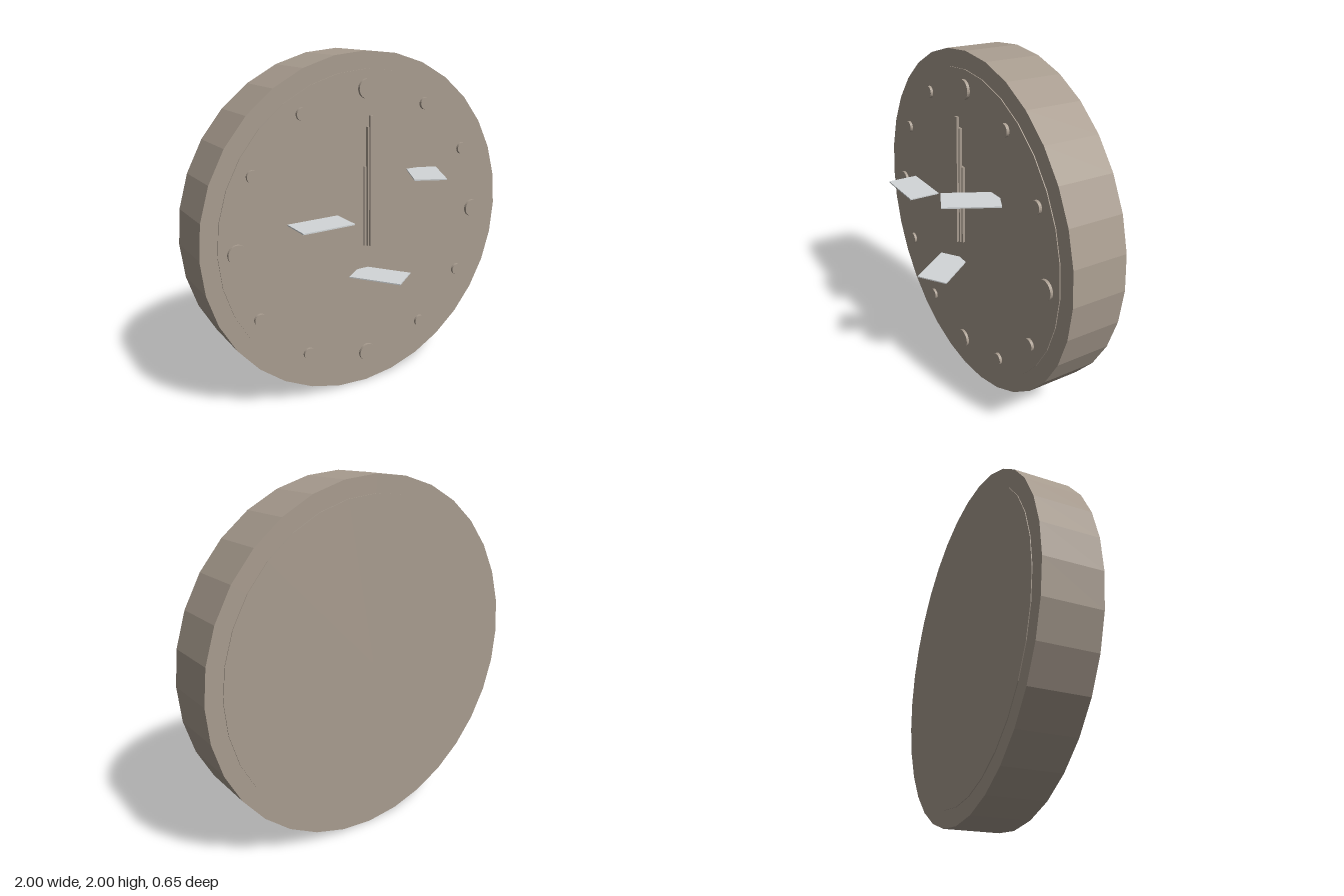
import * as THREE from 'three';

export function createModel() {
  const model = new THREE.Group();
  model.name = 'wallClock';
  const stone = new THREE.MeshStandardMaterial({ color: 0xa89c8f, flatShading: true });
  stone.name = 'taupe';
  const pale = new THREE.MeshStandardMaterial({ color: 0xd2d6d8 });
  pale.name = 'pale grey';

  const add = (name, geometry, material, x, y, z) => {
    const mesh = new THREE.Mesh(geometry, material);
    mesh.name = name;
    mesh.position.set(x, y, z);
    model.add(mesh);
    return mesh;
  };

  // Disc facing +z between two depths
  const disc = (name, radius, sides, x, y, back, front) =>
    add(name, new THREE.CylinderGeometry(radius, radius, front - back, sides).rotateX(Math.PI / 2),
      stone, x, y, (back + front) / 2);

  // Case, with a dial that stands just proud of it at front and back
  disc('case', 1, 32, 0, 1, -0.321, -0.003);
  disc('dial', 0.905, 32, 0, 1, -0.325, 0.002);

  // Hour markers: larger at the quarters
  for (let i = 0; i < 12; i++) {
    const a = (i * Math.PI) / 6;
    const quarter = i % 3 === 0;
    disc(quarter ? 'quarterMarker' : 'hourMarker', quarter ? 0.054 : 0.035, quarter ? 32 : 24,
      0.8 * Math.sin(a), 1 + 0.8 * Math.cos(a), -0.003, 0.018);
  }

  // Stacked hands: name, half width, top, back, front
  for (const [name, half, top, back, front] of [
    ['hourHand', 0.033, 1.375, 0.02, 0.034],
    ['minuteHand', 0.02, 1.597, 0.03, 0.046],
    ['secondHand', 0.01, 1.66, 0.044, 0.058],
  ]) {
    add(name, new THREE.BoxGeometry(half * 2, top - 0.908, front - back), stone,
      0, (top + 0.908) / 2, (back + front) / 2);
  }

  // Thin level plates in front of the dial: x, y, turn
  for (const [x, y, turn] of [[-0.378, 1.126, 0], [0.311, 1.315, 1.1], [0, 0.755, -0.946]]) {
    add('plate', new THREE.BoxGeometry(0.307, 0.007, 0.183), pale, x, y, 0.145).rotation.y = turn;
  }

  return model;
}
